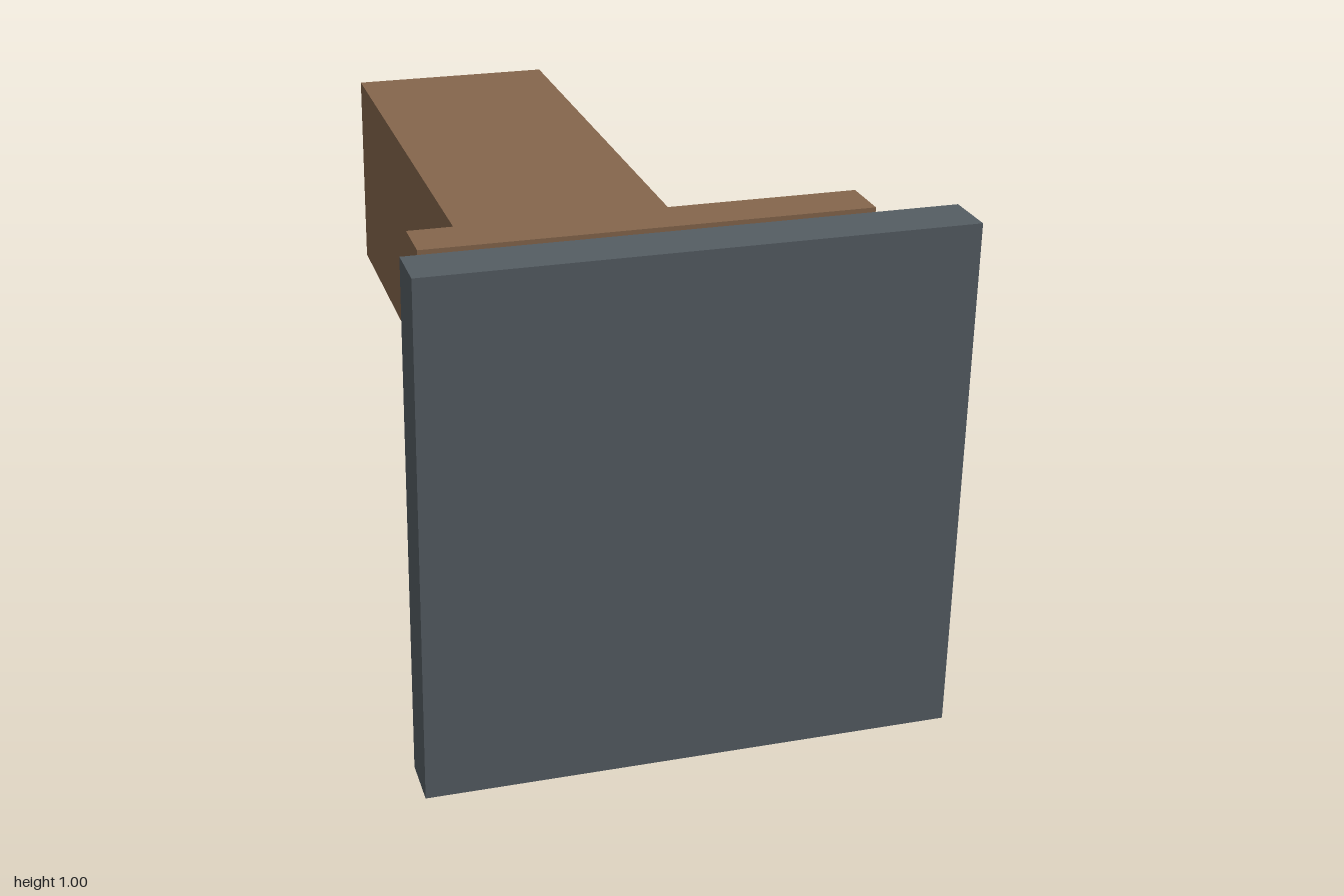
import * as THREE from 'three';

export function createModel() {
  const model = new THREE.Group();
  const wood = new THREE.MeshStandardMaterial({ color: 0x85664c });
  const slate = new THREE.MeshStandardMaterial({ color: 0x555d63 });
  const centreY = 0.4975;

  // Square block centred on the shared axis, running from zBack to zFront
  function addBlock(name, size, zBack, zFront, material) {
    const block = new THREE.Mesh(new THREE.BoxGeometry(size, size, zFront - zBack), material);
    block.name = name;
    block.position.set(0, centreY, (zBack + zFront) / 2);
    model.add(block);
  }

  // Detached front plate
  addBlock('frontPlate', 0.995, 0.9, 1, slate);
  // Wooden flange and the long shaft behind it
  addBlock('flange', 0.86, 0.605, 0.705, wood);
  addBlock('shaft', 0.465, -1, 0.605, wood);

  return model;
}
